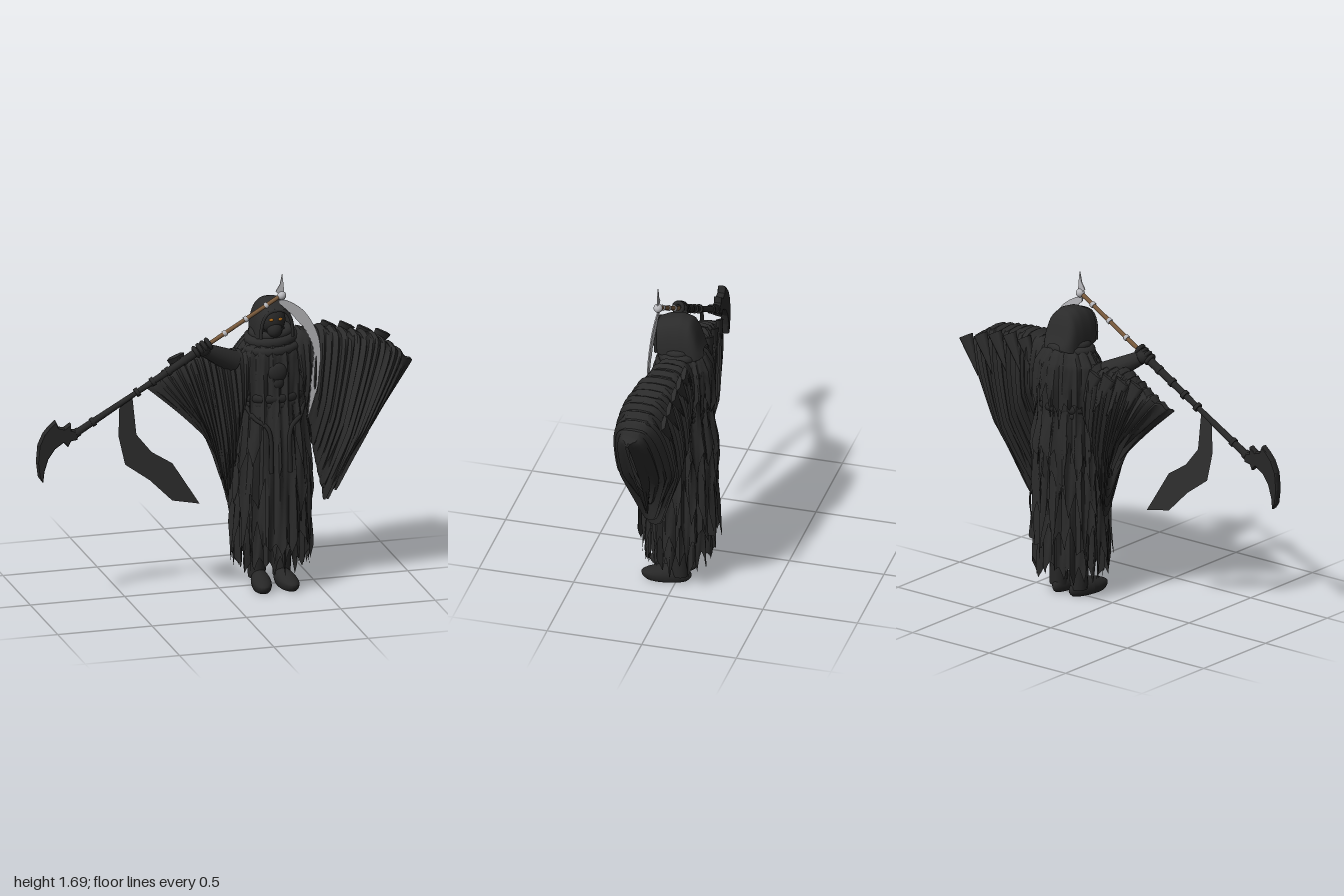
import * as THREE from 'three';
import { toCreasedNormals } from 'three/addons/utils/BufferGeometryUtils.js';

const V = (x, y, z) => new THREE.Vector3(x, y, z);
const mat = (name, color, side = THREE.FrontSide) => {
  const m = new THREE.MeshStandardMaterial({ color, side });
  m.name = name;
  return m;
};

export function createModel() {
  const root = new THREE.Group();
  root.name = 'hoodedReaper';
  const cloth = mat('charcoal cloth', 0x2b2b2b, THREE.DoubleSide);
  const leather = mat('black leather', 0x272727);
  const ribbonMat = mat('ribbon grey', 0x303030, THREE.DoubleSide);
  const silver = mat('silver', 0xb9b9bd, THREE.DoubleSide);
  const wood = mat('brown wood', 0x77583a);
  const amber = mat('amber eyes', 0xb8711c);

  let seed = 7;
  const rnd = () => (seed = (seed * 16807) % 2147483647) / 2147483647;
  const add = (name, geo, m, parent = root) => {
    const mesh = new THREE.Mesh(geo, m);
    mesh.name = name;
    parent.add(mesh);
    return mesh;
  };
  // Piecewise linear lookup in rows of [key, ...values], keys ascending
  const lookup = (rows, k) => {
    let i = 0;
    while (i < rows.length - 2 && k > rows[i + 1][0]) i++;
    const [a, b] = [rows[i], rows[i + 1]];
    const t = THREE.MathUtils.clamp((k - a[0]) / (b[0] - a[0]), 0, 1);
    return a.map((v, j) => v + (b[j] - v) * t);
  };
  // Surface through a grid of points
  const grid = (rows, cols, fn, crease = 0.8) => {
    const pos = [], idx = [];
    for (let i = 0; i <= rows; i++) for (let j = 0; j <= cols; j++) pos.push(...fn(i / rows, j / cols, i, j).toArray());
    for (let i = 0; i < rows; i++) for (let j = 0; j < cols; j++) {
      const a = i * (cols + 1) + j, b = a + cols + 1;
      idx.push(a, b, a + 1, b, b + 1, a + 1);
    }
    const g = new THREE.BufferGeometry();
    g.setAttribute('position', new THREE.Float32BufferAttribute(pos, 3));
    g.setIndex(idx);
    return toCreasedNormals(g, crease);
  };
  const rod = (name, a, b, ra, rb, m, sides = 14) => {
    const mesh = add(name, new THREE.CylinderGeometry(rb, ra, a.distanceTo(b), sides), m);
    mesh.position.copy(a).lerp(b, 0.5);
    mesh.quaternion.setFromUnitVectors(V(0, 1, 0), b.clone().sub(a).normalize());
    return mesh;
  };
  const ball = (name, p, s, m) => {
    const mesh = add(name, new THREE.SphereGeometry(1, 20, 14), m);
    mesh.position.set(...p);
    mesh.scale.set(...s);
    return mesh;
  };
  // Flat plate from an outline, centred on depth z
  const plate = (name, pts, depth, bevel, z, m) => {
    const shape = new THREE.Shape(pts.map(p => new THREE.Vector2(...p)));
    const g = new THREE.ExtrudeGeometry(shape, { depth, bevelEnabled: bevel > 0, bevelSize: bevel * 0.4, bevelOffset: -bevel * 0.4, bevelThickness: bevel, bevelSegments: 2 });
    g.translate(0, 0, z - depth / 2);
    return add(name, g, m);
  };

  // Robe: rows of [y, half width, half depth, centre z]
  const CX = 0.275;
  const body = [[0, 0.185, 0.165, 0], [0.25, 0.19, 0.17, 0], [0.5, 0.18, 0.165, 0], [0.8, 0.168, 0.155, 0],
    [1.02, 0.155, 0.13, -0.005], [1.15, 0.17, 0.135, -0.01], [1.26, 0.17, 0.13, -0.01], [1.32, 0.13, 0.105, -0.01], [1.37, 0.07, 0.06, -0.01]];
  const ragged = (name, top, hi, lo, off, spikes, a0 = 0, a1 = Math.PI * 2) => {
    const per = 6, cols = spikes * per, full = a1 - a0 > 6.28;
    const tips = Array.from({ length: spikes + 1 }, () => lo + (hi - lo) * 0.75 * rnd());
    const nicks = Array.from({ length: spikes + 1 }, () => hi + (hi - lo) * (rnd() - 0.5) * 0.6);
    if (full) nicks[spikes] = nicks[0];
    add(name, grid(24, cols, (v, u, i, j) => {
      const k = Math.min(Math.floor(j / per), spikes - 1), f = j / per - k;
      const edge = f < 0.5 ? nicks[k] : nicks[k + 1];
      const hem = tips[k] + (edge - tips[k]) * Math.pow(Math.abs(2 * f - 1), 0.8);
      const y = top + (hem - top) * v, a = a0 + (a1 - a0) * u;
      const [, rx, rz, zc] = lookup(body, y);
      const fold = off + 0.02 * v + (0.004 + 0.007 * v) * (Math.sin(a * 17 + y * 3) + 0.6 * Math.sin(a * 29 - y * 5));
      return V(CX + Math.sin(a) * (rx + fold), y, zc + Math.cos(a) * (rz + fold));
    }), cloth);
  };
  ragged('torsoRobe', 1.37, 0.95, 0.8, 0, 20);
  ragged('innerSkirt', 1.03, 0.2, 0.07, -0.02, 22);
  ragged('middleSkirt', 1.03, 0.36, 0.12, -0.004, 20);
  ragged('outerSkirt', 1.03, 0.58, 0.2, 0.008, 16);
  ragged('upperSkirt', 1.03, 0.82, 0.5, 0.014, 13, 0.5, Math.PI * 2 - 0.5);
  ragged('shoulderCape', 1.36, 1.12, 0.92, 0.014, 11, 1.5, 4.78);
  ragged('backCape', 1.3, 0.75, 0.5, 0.006, 9, 1.9, 4.38);
  ragged('frontPanel', 1.0, 0.3, 0.2, 0.016, 3, -0.4, 0.4);

  // Belt, crossed sash and chest ornament
  for (const [y, t] of [[1.03, 0.014], [0.995, 0.01]]) {
    const belt = add('belt', new THREE.TorusGeometry(0.155, t, 8, 48), leather);
    belt.rotation.x = Math.PI / 2;
    belt.scale.set(1.05, 0.9, 1.6);
    belt.position.set(CX, y, -0.005);
  }
  for (const s of [-1, 1]) {
    const path = new THREE.CatmullRomCurve3([V(CX + s * 0.16, 1.0, 0.05), V(CX + s * 0.12, 0.93, 0.12), V(CX + s * 0.06, 0.88, 0.16), V(CX + s * 0.05, 0.65, 0.18)]);
    add('sash', new THREE.TubeGeometry(path, 24, 0.012, 6), leather);
  }
  ball('chestOrnament', [CX, 1.17, 0.125], [0.05, 0.05, 0.025], leather);
  ball('chestOrnamentLower', [CX, 1.115, 0.13], [0.03, 0.032, 0.018], leather);

  // Cowl rolled round the neck
  for (const [y, r, t] of [[1.355, 0.088, 0.024], [1.325, 0.108, 0.028], [1.285, 0.128, 0.026]]) {
    const roll = add('cowlRoll', new THREE.TorusGeometry(r, t, 10, 40), cloth);
    roll.rotation.set(Math.PI / 2 + 0.1, 0.05, 0);
    roll.scale.set(1.05, 0.85, 1);
    roll.position.set(CX, y, -0.005);
  }

  // Hood: arches stepping from the brim to the back, rows of [z, half width, crown y, hem y]
  const arches = [[-0.14, 0.04, 1.37, 1.345], [-0.125, 0.075, 1.4, 1.335], [-0.1, 0.092, 1.48, 1.33], [-0.075, 0.097, 1.525, 1.33],
    [-0.02, 0.1, 1.54, 1.33], [0.05, 0.098, 1.53, 1.335], [0.11, 0.086, 1.5, 1.35]];
  add('hood', grid(24, 28, (v, u) => {
    const [z, w, top, hem] = lookup(arches, -0.14 + 0.25 * v), a = Math.PI * u;
    const x = -Math.cos(a), up = Math.pow(Math.sin(a), 0.75);
    return V(0.275 + w * Math.sign(x) * Math.pow(Math.abs(x), 0.75), hem + (top - hem) * up, z + 0.01 * up);
  }, 1.2), cloth);
  const brim = [];
  for (let i = 0; i <= 16; i++) {
    const a = Math.PI * i / 16, x = -Math.cos(a), up = Math.pow(Math.sin(a), 0.75);
    brim.push(V(0.275 + 0.084 * Math.sign(x) * Math.pow(Math.abs(x), 0.75), 1.35 + 0.148 * up, 0.105 + 0.01 * up));
  }
  add('hoodBrim', new THREE.TubeGeometry(new THREE.CatmullRomCurve3(brim), 40, 0.009, 8), cloth);

  // Masked face
  ball('face', [0.272, 1.43, 0.04], [0.066, 0.075, 0.06], leather);
  ball('jawMask', [0.272, 1.385, 0.075], [0.04, 0.042, 0.04], leather);
  for (const x of [0.25, 0.296]) ball('eye', [x, 1.443, 0.094], [0.012, 0.008, 0.006], amber);

  // Bell sleeves: rows of [t, top x, top y, bottom x, bottom y, centre z, half depth]
  const sleeve = (name, rows) => add(name, grid(60, 36, (t, u, i) => {
    const [, tx, ty, bx, by, zc, hz] = lookup(rows, t);
    const a = Math.PI * 2 * u, s = 0.5 - 0.5 * Math.cos(a);
    const pleat = 1 + 0.09 * Math.sin(i * 1.9) + 0.05 * Math.sin(i * 4.3);
    const torn = 0.045 * (Math.sin(i * 2.3) + Math.sin(i * 5.1)) * s * s * t;
    const wide = Math.pow(Math.abs(Math.sin(a)), 0.5) * (1 - 0.6 * Math.max(0, s - 0.6) / 0.4);
    const bump = 0.008 * Math.sin(i * 1.3) * (1 - s);
    return V(tx + (bx - tx) * s, ty + bump + (by + torn - ty) * s, zc + Math.sign(Math.sin(a)) * wide * hz * pleat);
  }, 0.6), cloth);
  sleeve('leftSleeve', [[0, 0.34, 1.34, 0.42, 1.05, -0.01, 0.1], [0.2, 0.5, 1.365, 0.47, 0.85, 0, 0.115], [0.42, 0.65, 1.335, 0.51, 0.62, 0.035, 0.145],
    [0.65, 0.8, 1.31, 0.54, 0.47, 0.055, 0.145], [0.85, 0.91, 1.24, 0.58, 0.55, 0.065, 0.13], [0.93, 0.95, 1.2, 0.6, 0.58, 0.075, 0.1], [1, 1.0, 1.155, 0.62, 0.6, 0.08, 0.01]]);
  sleeve('rightSleeve', [[0, 0.22, 1.32, 0.13, 0.98, -0.01, 0.09], [0.22, 0.06, 1.255, 0.1, 0.75, 0, 0.095], [0.45, -0.08, 1.275, 0.045, 0.48, 0, 0.095],
    [0.65, -0.19, 1.235, 0.015, 0.62, -0.02, 0.085], [0.85, -0.3, 1.17, 0, 0.75, -0.02, 0.065], [1, -0.39, 1.11, -0.01, 0.79, 0.02, 0.01]]);

  // Torn scraps along the outstretched arms
  for (let i = 0; i < 9; i++) {
    const left = i < 5, x = left ? 0.46 + i * 0.095 : 0.1 - (i - 5) * 0.09;
    const y = left ? 1.345 - Math.max(0, x - 0.6) * 0.3 : 1.24;
    const scrap = add('sleeveScrap', new THREE.ConeGeometry(0.05, 0.22, 5), cloth);
    scrap.scale.z = 0.3;
    scrap.rotation.set(0.15, 0, Math.PI + (left ? -0.5 : 0.4));
    scrap.position.set(x, y - 0.1, left ? -0.1 : -0.085);
  }

  // Right forearm and gripping hand
  rod('forearm', V(0.06, 1.22, 0.03), V(-0.1, 1.315, 0.1), 0.06, 0.036, cloth);
  ball('hand', [-0.115, 1.325, 0.105], [0.04, 0.038, 0.036], leather);
  for (let i = 0; i < 4; i++) {
    const finger = add('finger', new THREE.TorusGeometry(0.024, 0.011, 8, 16), leather);
    finger.position.set(-0.155 + i * 0.022, 1.315 + i * 0.013, 0.112);
    finger.rotation.set(0, Math.PI / 2, 0.53, 'ZYX');
  }

  // Legs and boots
  for (const [x, turn] of [[0.205, -0.12], [0.337, 0.1]]) {
    rod('leg', V(x, 0.04, -0.02), V(x, 0.45, -0.01), 0.045, 0.06, leather);
    const boot = new THREE.SphereGeometry(1, 24, 16);
    const p = boot.attributes.position;
    for (let i = 0; i < p.count; i++) {
      const z = p.getZ(i), y = p.getY(i);
      p.setXYZ(i, p.getX(i) * (0.05 + 0.008 * z), y < 0 ? Math.max(y, -0.55) * 0.06 : y * (0.05 - 0.018 * z), z * 0.13);
    }
    boot.computeVertexNormals();
    const mesh = add('boot', boot, leather);
    mesh.position.set(x, 0.034, 0.055);
    mesh.rotation.y = turn;
  }

  // Scythe shaft
  const Z = 0.11, low = V(-0.82, 0.92, Z), grip = V(-0.13, 1.325, Z), head = V(0.3, 1.578, Z);
  const on = (a, b, t) => a.clone().lerp(b, t);
  rod('woodenShaft', grip, head, 0.011, 0.011, wood);
  rod('lowerShaft', low, on(low, grip, 0.55), 0.02, 0.013, leather);
  rod('wrappedShaft', on(low, grip, 0.45), grip, 0.013, 0.023, leather);
  for (const t of [0.04, 0.16, 0.5, 0.62, 0.74, 0.86]) rod('shaftWrap', on(low, grip, t), on(low, grip, t + 0.025), 0.024, 0.024, leather);
  for (const t of [0.28, 0.54, 0.79]) rod('silverBand', on(grip, head, t), on(grip, head, t + 0.035), 0.016, 0.016, silver);
  ball('headKnob', [0.3, 1.575, Z], [0.023, 0.023, 0.023], silver);
  plate('topSpike', [[0.268, 1.6], [0.29, 1.635], [0.302, 1.69], [0.309, 1.635], [0.312, 1.588], [0.29, 1.58]], 0.006, 0, Z, silver);

  // Long curved blade with a toothed inner edge
  const outer = new THREE.SplineCurve([[0.285, 1.55], [0.33, 1.545], [0.42, 1.48], [0.487, 1.36], [0.505, 1.24], [0.49, 1.08], [0.438, 0.905]].map(p => new THREE.Vector2(...p)));
  const inner = new THREE.SplineCurve([[0.438, 0.905], [0.453, 1.1], [0.466, 1.26], [0.427, 1.37], [0.36, 1.46], [0.285, 1.535]].map(p => new THREE.Vector2(...p)));
  const teeth = inner.getPoints(44).map((p, i) => [p.x + (i % 2 && i < 30 ? 0.005 : 0), p.y]);
  plate('scytheBlade', [...outer.getPoints(30).map(p => [p.x, p.y]), ...teeth.slice(1)], 0.006, 0, Z, silver);

  // Dark hooked blade at the foot of the shaft
  plate('hookBlade', [[-0.78, 0.955], [-0.785, 0.905], [-0.82, 0.9], [-0.835, 0.87], [-0.86, 0.895], [-0.905, 0.865], [-0.94, 0.815], [-0.96, 0.75], [-0.968, 0.69],
    [-0.99, 0.72], [-1.0, 0.8], [-0.992, 0.89], [-0.965, 0.95], [-0.935, 0.985], [-0.9, 1.015], [-0.885, 0.98], [-0.855, 0.972], [-0.82, 0.995], [-0.818, 0.96]], 0.012, 0.014, Z, leather);

  // Ribbon hanging from the shaft
  add('ribbon', new THREE.ShapeGeometry(new THREE.Shape([[-0.5, 1.12], [-0.56, 1.08], [-0.565, 0.9], [-0.53, 0.745], [-0.4, 0.65], [-0.28, 0.53], [-0.135, 0.5], [-0.28, 0.73],
    [-0.39, 0.8], [-0.47, 0.9], [-0.49, 1.09]].map(p => new THREE.Vector2(...p)))), ribbonMat).position.z = Z;

  return root;
}
